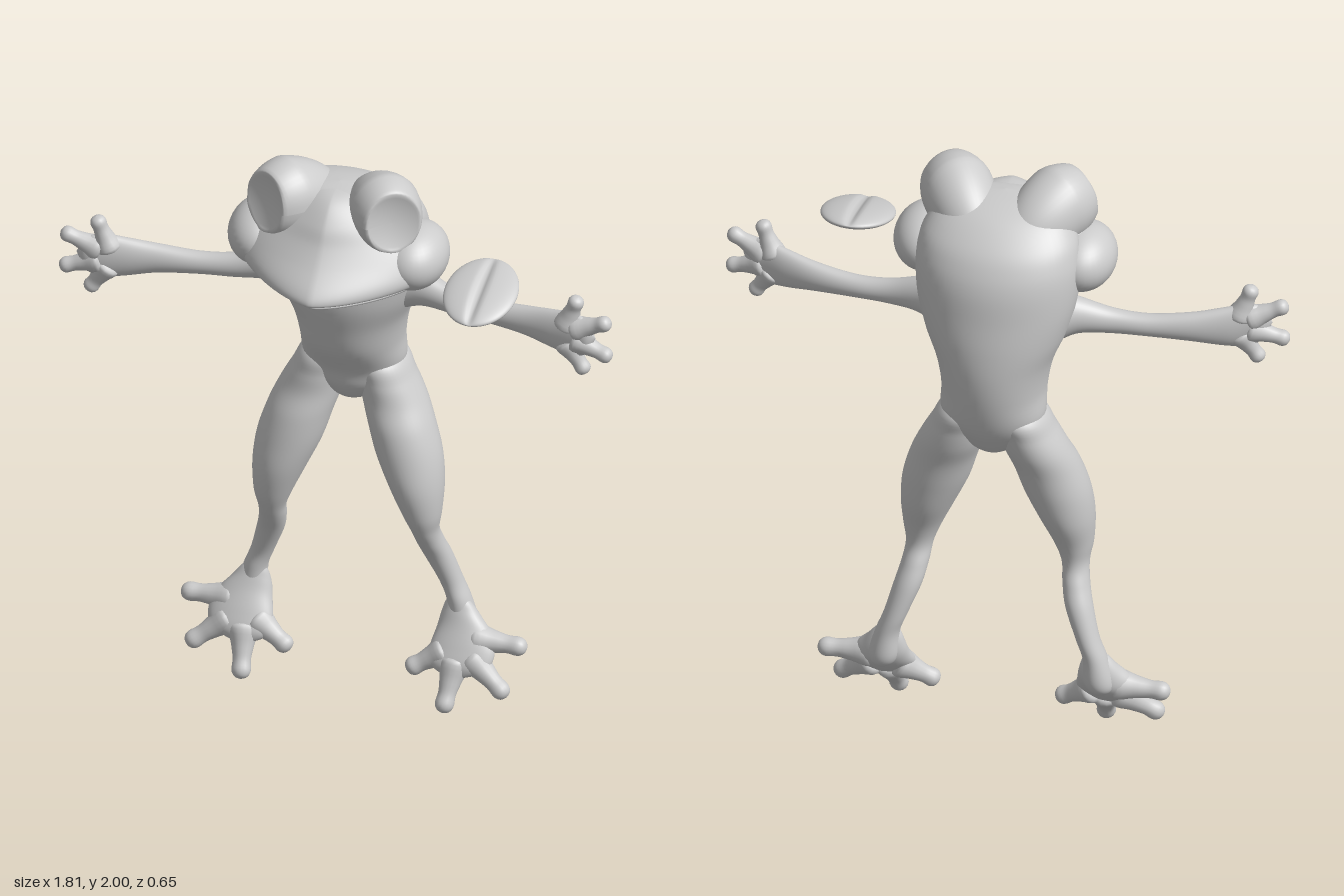
import * as THREE from 'three';

const V = (x, y, z) => new THREE.Vector3(x, y, z);
const X = V(1, 0, 0), Y = V(0, 1, 0), Z = V(0, 0, 1);

// Smooth skin through sections [x, y, z, radius along u, radius across, back radius along u]
function loft(sections, u, dir, { frontPower = 1, sides = 40, steps = 6 } = {}) {
  const v = dir.clone().cross(u);
  const rows = sections.map(s => [s[0], s[1], s[2], s[3], s[4], s[5] ?? s[3]]);
  const last = rows.length - 1, pos = [], index = [];
  const rings = last * steps;
  for (let i = 0; i <= rings; i++) {
    const k = Math.min(Math.floor(i / steps), last - 1), t = i / steps - k;
    const [p0, p1, p2, p3] = [k - 1, k, k + 1, k + 2].map(q => rows[THREE.MathUtils.clamp(q, 0, last)]);
    const [x, y, z, a, b, back] = p1.map((q, c) => {
      const value = q + 0.5 * t * (p2[c] - p0[c] + t * (2 * p0[c] - 5 * q + 4 * p2[c] - p3[c]
        + t * (3 * (q - p2[c]) + p3[c] - p0[c])));
      return c > 2 ? Math.max(value, 0) : value;
    });
    for (let j = 0; j < sides; j++) {
      const angle = (j / sides) * Math.PI * 2;
      let c = Math.cos(angle), s = Math.sin(angle);
      if (c > 0) {
        c = c ** frontPower;
        s = Math.sign(s) * Math.abs(s) ** frontPower;
      }
      const p = V(x, y, z).addScaledVector(u, c * (c > 0 ? a : back)).addScaledVector(v, s * b);
      pos.push(p.x, p.y, p.z);
      if (i < rings) {
        const n = (j + 1) % sides, r = i * sides;
        index.push(r + j, r + n, r + sides + n, r + j, r + sides + n, r + sides + j);
      }
    }
  }
  const geo = new THREE.BufferGeometry();
  geo.setAttribute('position', new THREE.Float32BufferAttribute(pos, 3));
  geo.setIndex(index);
  geo.computeVertexNormals();
  return geo;
}

// Finger or toe with a narrow middle and a rounded tip
function digit(from, to, r) {
  const a = V(...from), b = V(...to), dir = b.clone().sub(a).normalize();
  const u = dir.clone().cross(V(0.1, 0.5, 0.86)).normalize();
  const sections = [[0, 0], [0.08, 1.5], [0.4, 1.15], [0.65, 0.9], [0.85, 0.95], [0.96, 0.62], [1, 0]]
    .map(([t, k]) => [...a.clone().lerp(b, t).toArray(), k * r, k * r]);
  return loft(sections, u, dir, { sides: 16, steps: 4 });
}

function mirrored(geo) {
  const copy = geo.clone().scale(-1, 1, 1), ix = copy.index.array;
  for (let i = 0; i < ix.length; i += 3) [ix[i + 1], ix[i + 2]] = [ix[i + 2], ix[i + 1]];
  return copy;
}

function reshape(geo, rule) {
  const p = geo.attributes.position, q = V(0, 0, 0);
  for (let i = 0; i < p.count; i++) {
    rule(q.fromBufferAttribute(p, i));
    p.setXYZ(i, q.x, q.y, q.z);
  }
  geo.computeVertexNormals();
  return geo;
}

export function createModel() {
  const model = new THREE.Group();
  model.name = 'frog';
  const skin = new THREE.MeshStandardMaterial({ color: 0xcccccc, roughness: 0.8 });

  const add = (name, geo) => {
    const mesh = new THREE.Mesh(geo, skin);
    mesh.name = name;
    model.add(mesh);
  };
  const addPair = (name, geo) => {
    add(`left${name}`, geo);
    add(`right${name}`, mirrored(geo));
  };

  // Torso and hunched back: [height, half width, front z, back z]
  const torso = [
    [1.05, 0, -0.15, -0.15], [1.07, 0.06, -0.09, -0.21], [1.13, 0.125, -0.05, -0.255],
    [1.2, 0.165, -0.03, -0.288], [1.3, 0.167, 0.03, -0.312], [1.4, 0.185, 0.062, -0.322],
    [1.5, 0.225, 0.088, -0.318], [1.6, 0.252, 0.092, -0.304], [1.7, 0.262, 0.1, -0.288],
    [1.77, 0.258, 0.1, -0.262], [1.83, 0.24, 0.1, -0.22], [1.89, 0.19, 0.08, -0.145],
    [1.92, 0.11, 0.05, -0.07], [1.93, 0, 0, 0],
  ].map(([y, w, f, b]) => [0, y, (f + b) / 2, (f - b) / 2, w]);
  add('torso', loft(torso, Z, Y, { sides: 48 }));

  // Head with pointed snout and a mouth groove: [height, half width, snout z]
  const head = [
    [1.6, 0, 0.02], [1.603, 0.18, 0.13], [1.612, 0.255, 0.24], [1.626, 0.28, 0.285], [1.638, 0.28, 0.282],
    [1.643, 0.268, 0.262], [1.65, 0.275, 0.268], [1.654, 0.31, 0.32], [1.67, 0.33, 0.328],
    [1.7, 0.337, 0.306], [1.75, 0.322, 0.248], [1.8, 0.275, 0.202], [1.85, 0.2, 0.17],
    [1.895, 0.12, 0.125], [1.918, 0.06, 0.08], [1.925, 0, 0.02],
  ].map(([y, w, f]) => [0, y, 0.02, f - 0.02, w, w * 0.45]);
  add('head', loft(head, Z, Y, { frontPower: 1.4, sides: 64 }));

  // Cheeks
  addPair('Cheek', new THREE.SphereGeometry(1, 36, 24).scale(0.106, 0.103, 0.14).translate(0.25, 1.71, 0.01));

  // Eye mounds: drawn out towards the back, cut to a shallow dish in front
  const eye = new THREE.SphereGeometry(1, 40, 40).rotateX(Math.PI / 2);
  reshape(eye, p => {
    p.set(p.x * 0.115, p.y * 0.13, p.z * (p.z > 0 ? 0.16 : 0.2));
    if (p.z < 0) p.y += 0.3 * p.z;
    const cut = 0.1 - 0.15 * p.y;
    if (p.z > cut) {
      const r = Math.hypot(p.x / 0.09, p.y / 0.1);
      p.z = cut - 0.018 * Math.max(0, 1 - r * r);
    }
  });
  addPair('EyeMound', eye.rotateY(0.6).translate(0.155, 1.87, 0.03));

  // Arms ending in flat palms, with four fingers each
  addPair('Arm', loft([
    [0.06, 1.53, -0.1, 0, 0], [0.1, 1.53, -0.1, 0.11, 0.1], [0.19, 1.538, -0.088, 0.088, 0.07],
    [0.26, 1.538, -0.07, 0.06, 0.05], [0.36, 1.52, -0.05, 0.042, 0.037], [0.47, 1.513, -0.038, 0.038, 0.034],
    [0.6, 1.515, -0.02, 0.05, 0.035], [0.7, 1.516, 0.003, 0.068, 0.035], [0.77, 1.52, 0.022, 0.077, 0.031],
    [0.82, 1.525, 0.034, 0.058, 0.025], [0.85, 1.53, 0.04, 0, 0],
  ], Y, X));
  [
    [[0.745, 1.54, 0.02], [0.79, 1.665, 0.03]],
    [[0.77, 1.54, 0.025], [0.9, 1.6, 0.045]],
    [[0.77, 1.51, 0.025], [0.905, 1.468, 0.045]],
    [[0.745, 1.495, 0.02], [0.817, 1.388, 0.03]],
  ].forEach(([a, b], i) => addPair(`Finger${i + 1}`, digit(a, b, 0.027)));

  // Legs: [x, height, z, depth radius, width radius]
  addPair('Leg', loft([
    [0.07, 1.27, -0.16, 0, 0], [0.085, 1.22, -0.16, 0.1, 0.075], [0.11, 1.15, -0.152, 0.108, 0.09],
    [0.135, 1.08, -0.143, 0.108, 0.102], [0.165, 1, -0.12, 0.11, 0.106], [0.195, 0.9, -0.105, 0.11, 0.105],
    [0.222, 0.8, -0.093, 0.102, 0.088], [0.242, 0.7, -0.085, 0.075, 0.063], [0.25, 0.63, -0.095, 0.056, 0.044],
    [0.258, 0.57, -0.124, 0.052, 0.043], [0.275, 0.5, -0.157, 0.048, 0.044], [0.308, 0.4, -0.183, 0.043, 0.038],
    [0.333, 0.33, -0.187, 0.046, 0.039], [0.345, 0.25, -0.19, 0.049, 0.048], [0.35, 0.21, -0.185, 0.035, 0.035],
    [0.35, 0.19, -0.18, 0, 0],
  ], Z, V(0, -1, 0)));

  // Feet: flat tilted plates, with four splayed toes each
  const footDir = V(0, -0.75, 0.66).normalize();
  addPair('Foot', loft([
    [0.33, 0.36, -0.19, 0, 0], [0.335, 0.32, -0.185, 0.034, 0.04], [0.345, 0.275, -0.178, 0.048, 0.066],
    [0.36, 0.23, -0.158, 0.05, 0.09], [0.363, 0.175, -0.118, 0.042, 0.105], [0.355, 0.13, -0.085, 0.03, 0.085],
    [0.345, 0.1, -0.065, 0, 0],
  ], V(0, -0.66, -0.75).normalize(), footDir));
  [
    [[0.38, 0.215, -0.15], [0.567, 0.208, -0.15]],
    [[0.385, 0.17, -0.12], [0.525, 0.066, -0.07]],
    [[0.348, 0.16, -0.11], [0.33, 0.004, -0.015]],
    [[0.32, 0.175, -0.125], [0.19, 0.095, -0.09]],
  ].forEach(([a, b], i) => addPair(`Toe${i + 1}`, digit(a, b, 0.032)));

  // Loose tongue: a tilted oval pad with a groove along its top
  const tongue = reshape(new THREE.SphereGeometry(1, 64, 32).rotateX(Math.PI / 2), p => {
    p.set(p.x * 0.117, p.y * 0.028, p.z * 0.146);
    if (p.y > 0) p.y *= 1 - 0.6 * Math.exp(-((p.x / 0.014) ** 2));
  });
  add('tongue', tongue.rotateX(0.26).translate(0.5, 1.683, 0.12));

  return model;
}
